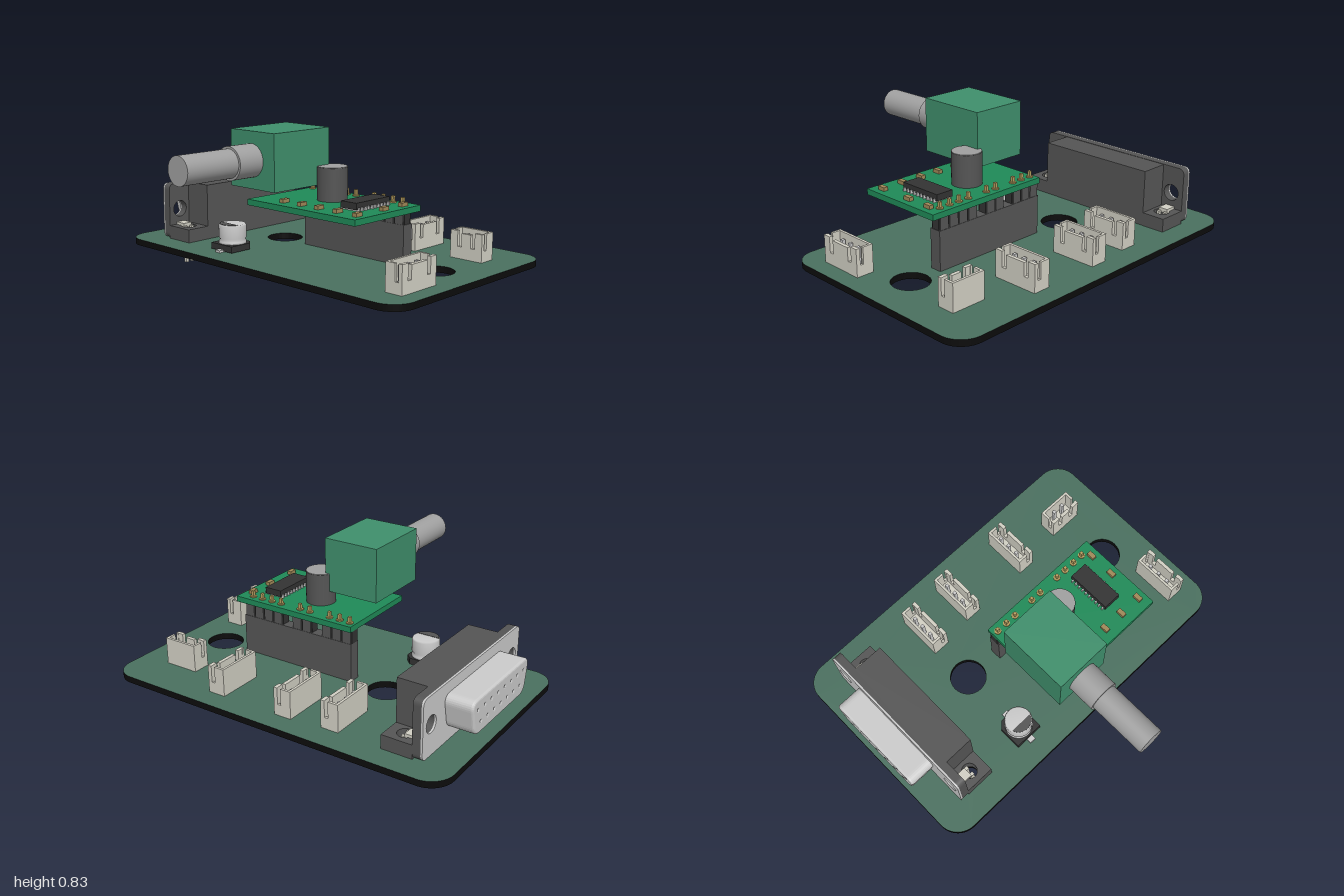
import * as THREE from 'three';

const mat = (color) => new THREE.MeshStandardMaterial({ color });
const M = {
  mask: mat(0x4a705f), edge: mat(0x0c0c0c), module: mat(0x1f8a58), pot: mat(0x3f8f6c),
  dark: mat(0x555555), chip: mat(0x333333), metal: mat(0xcccccc), cream: mat(0xd2d0c4),
  gold: mat(0xb8a060), smd: mat(0xa08858), shaft: mat(0xa0a0a0),
};

function add(parent, name, geo, material, x = 0, y = 0, z = 0) {
  const m = new THREE.Mesh(geo, material);
  m.name = name;
  m.position.set(x, y, z);
  parent.add(m);
  return m;
}

// Box given by its min and max on each axis
function box(parent, name, material, x0, x1, y0, y1, z0, z1) {
  return add(parent, name, new THREE.BoxGeometry(x1 - x0, y1 - y0, z1 - z0), material,
    (x0 + x1) / 2, (y0 + y1) / 2, (z0 + z1) / 2);
}

function cyl(parent, name, material, r, x, y0, y1, z, n = 32) {
  return add(parent, name, new THREE.CylinderGeometry(r, r, y1 - y0, n), material, x, (y0 + y1) / 2, z);
}

// Polygon with every corner rounded by radius r
function roundedPoly(pts, r) {
  const s = new THREE.Shape();
  pts.forEach((p, i) => {
    const c = new THREE.Vector2(...p);
    const a = new THREE.Vector2(...pts[(i + pts.length - 1) % pts.length]);
    const b = new THREE.Vector2(...pts[(i + 1) % pts.length]);
    const p0 = c.clone().add(a.sub(c).setLength(r));
    const p1 = c.clone().add(b.sub(c).setLength(r));
    if (i === 0) s.moveTo(p0.x, p0.y); else s.lineTo(p0.x, p0.y);
    s.quadraticCurveTo(c.x, c.y, p1.x, p1.y);
  });
  s.closePath();
  return s;
}
const rect = (x0, x1, y0, y1) => [[x0, y0], [x1, y0], [x1, y1], [x0, y1]];

function hole(shape, x, y, r) {
  shape.holes.push(new THREE.Path().absarc(x, y, r, 0, Math.PI * 2, true));
}
const extrude = (shape, depth, opts = {}) =>
  new THREE.ExtrudeGeometry(shape, { depth, bevelEnabled: false, curveSegments: 16, ...opts });

const TOP = 0.135, BOTTOM = 0.1;
const LOCKS = [-0.21, 0.62];

function mainBoard() {
  const s = new THREE.Shape();
  const x0 = -0.427, x1 = 0.823, r = 0.125;
  s.absarc(x1 - r, 1 - r, r, 0, Math.PI / 2);
  s.absarc(x0 + r, 1 - r, r, Math.PI / 2, Math.PI);
  s.absarc(x0 + r, r - 1, r, Math.PI, Math.PI * 1.5);
  s.absarc(x1 - r, r - 1, r, Math.PI * 1.5, Math.PI * 2);
  hole(s, 0.2, 0.33, 0.1);
  hole(s, 0.2, -0.745, 0.1);
  LOCKS.forEach((x) => hole(s, x, 0.7, 0.042));
  const m = new THREE.Mesh(extrude(s, TOP - BOTTOM).rotateX(-Math.PI / 2), [M.mask, M.edge]);
  m.name = 'mainBoard';
  m.position.y = BOTTOM;
  return m;
}

// Fifteen-way right-angle connector at the rear edge
function rearConnector() {
  const g = new THREE.Group();
  g.name = 'rearConnector';
  const cx = 0.205, cy = 0.3;
  box(g, 'connectorBody', M.dark, -0.145, 0.56, TOP, 0.448, -0.78, -0.61);
  const flange = () => {
    const s = roundedPoly(rect(-0.285, 0.695, TOP, 0.45), 0.035);
    LOCKS.forEach((x) => hole(s, x, cy, 0.046));
    return s;
  };
  add(g, 'flange', extrude(flange(), 0.045), M.dark, 0, 0, -0.822);
  add(g, 'flangePlate', extrude(flange(), 0.01), M.metal, 0, 0, -0.832);

  // Shell with two staggered rows of sockets
  const shell = roundedPoly([[cx - 0.255, 0.215], [cx + 0.255, 0.215], [cx + 0.288, 0.38], [cx - 0.288, 0.38]], 0.04);
  for (let i = 0; i < 15; i++) {
    const upper = i % 2 === 0;
    const x = cx + (i - 7) * 0.0346;
    hole(shell, x, upper ? cy + 0.036 : cy - 0.036, 0.014);
    box(g, 'solderPin', M.metal, x - 0.008, x + 0.008, 0.04, TOP, ...(upper ? [-0.633, -0.617] : [-0.707, -0.691]));
  }
  add(g, 'shell', extrude(shell, 0.13, { bevelEnabled: true, bevelSize: 0.012, bevelThickness: 0.012, bevelSegments: 3, curveSegments: 8 }),
    M.metal, 0, 0, -0.966);

  // Mounting feet with board locks
  for (const x of LOCKS) {
    const out = x < 0 ? [-0.285, -0.145] : [0.56, 0.695];
    const s = new THREE.Shape(rect(out[0], out[1], 0.61, 0.78).map((p) => new THREE.Vector2(...p)));
    hole(s, x, 0.7, 0.042);
    add(g, 'foot', extrude(s, 0.075).rotateX(-Math.PI / 2), M.dark, 0, TOP, 0);
    box(g, 'lockTab', M.cream, x - 0.028, x + 0.028, 0.2, 0.225, -0.775, -0.71);
    for (const d of [-0.021, 0.021]) box(g, 'lockProng', M.cream, x + d - 0.009, x + d + 0.009, 0.0, 0.21, -0.712, -0.692);
  }
  return g;
}

// Small open-topped wire connector, slotted wall toward +z
function wireConnector(name, pins, x, z, turn = 0) {
  const g = new THREE.Group();
  g.name = name;
  const w = (pins - 1) * 0.0625 + 0.135, h = w / 2, y1 = 0.285, t = 0.014;
  box(g, 'floor', M.cream, -h, h, TOP, 0.165, -0.05, 0.05);
  box(g, 'backWall', M.cream, -h, h, 0.165, y1, -0.05, -0.05 + t);
  for (const s of [-1, 1]) {
    const xs = s < 0 ? [-h, t - h] : [h - t, h];
    box(g, 'sideWall', M.cream, ...xs, 0.165, y1, -0.036, 0.008);
    box(g, 'sidePost', M.cream, ...xs, 0.165, y1, 0.028, 0.05);
    box(g, 'sideSill', M.cream, ...xs, 0.165, 0.195, 0.008, 0.028);
    box(g, 'frontCorner', M.cream, ...(s < 0 ? [-h, -h + 0.045] : [h - 0.045, h]), 0.165, y1, 0.03, 0.05);
  }
  box(g, 'frontSill', M.cream, -h, h, 0.165, 0.2, 0.03, 0.05);
  const mid = h - 0.07;
  box(g, 'frontWall', M.cream, -mid, mid, 0.2, y1 - 0.012, 0.03, 0.05);
  for (let i = 0; i < pins; i++) {
    const px = (i - (pins - 1) / 2) * 0.0625;
    box(g, 'pin', M.metal, px - 0.009, px + 0.009, 0.058, 0.26, -0.022, -0.004);
  }
  g.position.set(x, 0, z);
  g.rotation.y = turn;
  return g;
}

function capacitor() {
  const g = new THREE.Group();
  g.name = 'capacitor';
  const base = new THREE.Shape([[-0.083, -0.083], [0.05, -0.083], [0.083, -0.05], [0.083, 0.05], [0.05, 0.083], [-0.083, 0.083]]
    .map((p) => new THREE.Vector2(...p)));
  add(g, 'base', extrude(base, 0.035).rotateX(-Math.PI / 2), M.chip, 0, TOP + 0.004, 0);
  const profile = [[0, 0.165], [0.076, 0.165], [0.076, 0.185], [0.068, 0.195], [0.076, 0.205], [0.076, 0.272], [0.07, 0.28], [0, 0.28]];
  add(g, 'can', new THREE.LatheGeometry(profile.map((p) => new THREE.Vector2(...p)), 32), M.metal);
  const mark = new THREE.Shape().absarc(0, 0, 0.07, Math.PI * 0.6, Math.PI * 1.4);
  add(g, 'polarityMark', extrude(mark, 0.002).rotateX(-Math.PI / 2), M.dark, 0, 0.28, 0);
  box(g, 'terminals', M.metal, -0.112, 0.112, TOP, TOP + 0.012, -0.018, 0.018);
  g.position.set(-0.205, 0, -0.33);
  return g;
}

// Raised daughter board carried on a single row of pins
function daughterBoard() {
  const g = new THREE.Group();
  g.name = 'daughterBoard';
  const y = 0.452, px = 0.187;
  box(g, 'panel', M.module, -0.277, 0.23, 0.42, y, -0.13, 0.62);
  box(g, 'socketStrip', M.dark, 0.155, 0.222, TOP, 0.35, -0.128, 0.572);
  for (let i = 0; i < 11; i++) {
    const z = -0.098 + i * 0.0635;
    box(g, 'socketPin', M.gold, px - 0.008, px + 0.008, 0.055, TOP, z - 0.008, z + 0.008);
    if (i === 3 || i === 6) continue;
    box(g, 'spacer', M.dark, 0.157, 0.22, 0.35, 0.42, z - 0.027, z + 0.027);
    box(g, 'spacerWeb', M.chip, 0.165, 0.212, 0.35, 0.42, z - 0.0317, z + 0.0317);
    cyl(g, 'solderJoint', M.gold, 0.019, px, y, y + 0.006, z, 16);
    box(g, 'headerPin', M.gold, px - 0.008, px + 0.008, y, 0.487, z - 0.008, z + 0.008);
  }
  // Driver chip and its leads
  box(g, 'chip', M.chip, -0.13, 0.125, 0.46, 0.495, 0.397, 0.5);
  for (let i = 0; i < 10; i++) {
    const x = -0.115 + i * 0.025;
    box(g, 'chipLead', M.metal, x - 0.004, x + 0.004, y, 0.47, 0.385, 0.512);
  }
  // Surface-mount parts
  for (const [x, z] of [[-0.205, 0.075], [-0.205, 0.2], [-0.205, 0.32], [-0.205, 0.445], [-0.205, 0.573], [-0.005, 0.573], [0.145, 0.573]]) {
    box(g, 'smallPart', M.smd, x - 0.023, x + 0.023, y, 0.472, z - 0.013, z + 0.013);
  }
  cyl(g, 'roundPart', M.dark, 0.081, 0.022, y, 0.628, 0.2);
  cyl(g, 'roundPartCap', M.shaft, 0.079, 0.022, 0.628, 0.631, 0.2);
  return g;
}

function rotaryControl() {
  const g = new THREE.Group();
  g.name = 'rotaryControl';
  box(g, 'housing', M.pot, -0.35, 0.05, 0.53, 0.827, -0.17, 0.15);
  const shaft = (name, r, x0, x1) => {
    add(g, name, new THREE.CylinderGeometry(r, r, x1 - x0, 40).rotateZ(Math.PI / 2), M.shaft, (x0 + x1) / 2, 0.677, -0.017);
  };
  shaft('bushing', 0.087, -0.503, -0.35);
  shaft('shaft', 0.075, -0.825, -0.503);
  return g;
}

export function createModel() {
  const model = new THREE.Group();
  model.name = 'circuitBoardAssembly';
  model.add(
    mainBoard(), rearConnector(), capacitor(), daughterBoard(), rotaryControl(),
    wireConnector('wireConnectorRear', 3, 0.56, -0.318),
    wireConnector('wireConnectorMiddle', 3, 0.582, -0.053),
    wireConnector('wireConnectorFront', 3, 0.582, 0.368),
    wireConnector('wireConnectorCorner', 3, -0.14, 0.855),
    wireConnector('wireConnectorSide', 2, 0.538, 0.725, -Math.PI / 2),
  );
  return model;
}
